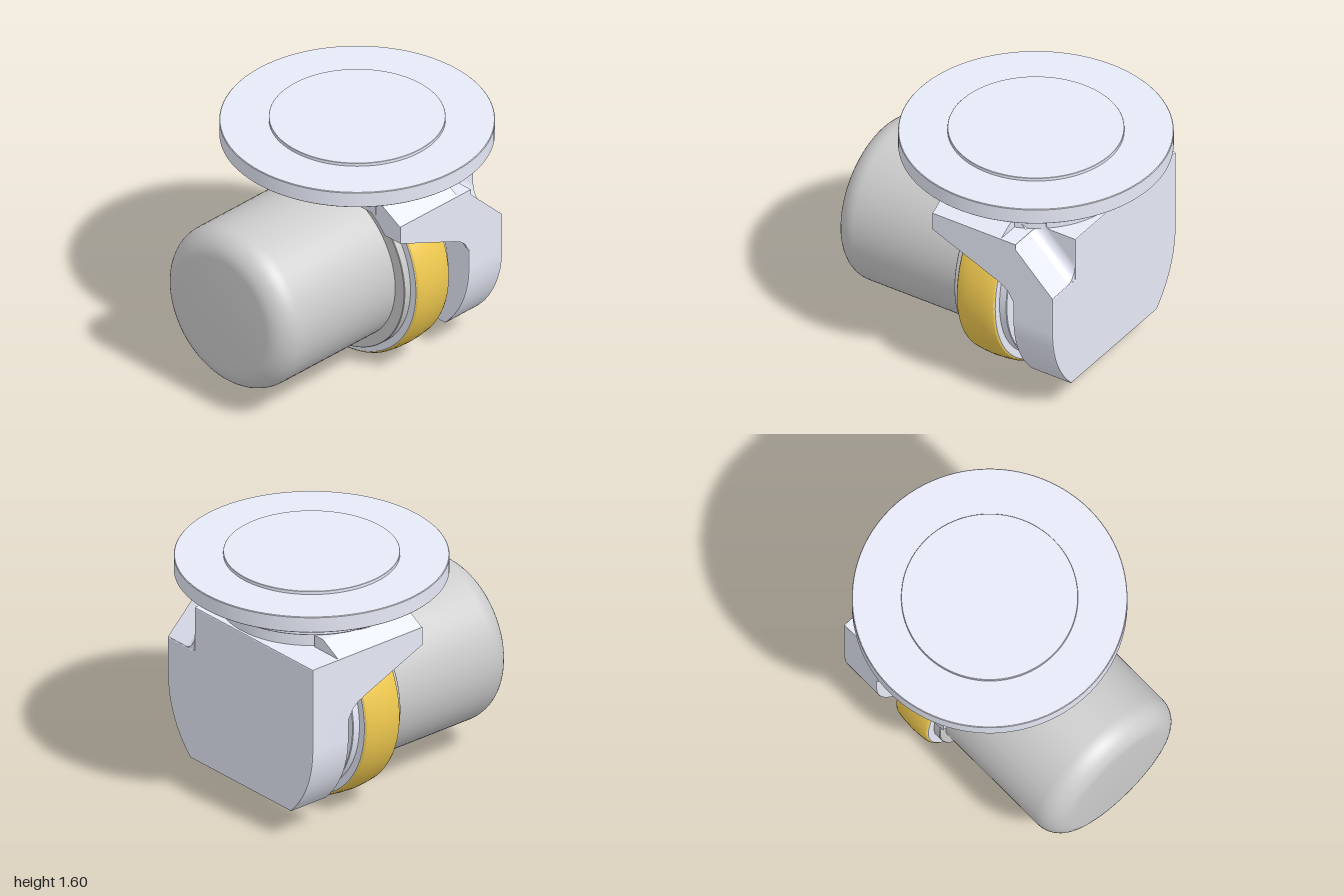
import * as THREE from 'three';
import { toCreasedNormals } from 'three/addons/utils/BufferGeometryUtils.js';

const AXLE_Y = 0.68, PIVOT_X = 0.158;
const steel = new THREE.MeshStandardMaterial({ color: 0xe6e9f7 });
const gold = new THREE.MeshStandardMaterial({ color: 0xf2cb50 });
const grey = new THREE.MeshStandardMaterial({ color: 0xcccccc });

function add(parent, name, geometry, material = steel) {
  const mesh = new THREE.Mesh(geometry, material);
  mesh.name = name;
  parent.add(mesh);
  return mesh;
}

// Turned part from [radius, height] points, edges kept sharp
function turned(points) {
  const g = new THREE.LatheGeometry(points.map(p => new THREE.Vector2(p[0], p[1])), 96);
  return toCreasedNormals(g, 0.5);
}

// Disc with small chamfers between two heights
function disc(r, a, b, c = 0.004) {
  return turned([[0, a], [r - c, a], [r, a + c], [r, b - c], [r - c, b], [0, b]]);
}

function polygon(points) {
  return new THREE.Shape(points.map(p => new THREE.Vector2(p[0], p[1])));
}

function extrude(shape, depth) {
  return new THREE.ExtrudeGeometry(shape, { depth, bevelEnabled: false, curveSegments: 32 });
}

// Fork arm lofted along x: sloping underside, inner face hollowed round the wheel
function armGeometry(side) {
  const stations = [[-0.15, 1.12], [0.32, 0.925], [0.37, 0.90], [0.41, 0.865], [0.435, 0.82], [0.46, 0.78]];
  const arc = 10, count = arc + 3, pos = [], index = [];
  for (const [x, low] of stations) {
    pos.push(x, 1.24, side * 0.68, x, low, side * 0.68);
    for (let i = 0; i <= arc; i++) {
      const y = low + (1.24 - low) * i / arc;
      const z = Math.min(0.66, Math.sqrt(0.7 * 0.7 - (y - AXLE_Y) ** 2));
      pos.push(x, y, side * z);
    }
  }
  const tri = (a, b, c) => (side > 0 ? index.push(a, b, c) : index.push(a, c, b));
  for (let s = 0; s < stations.length - 1; s++) {
    for (let i = 0; i < count; i++) {
      const a = s * count + i, b = s * count + (i + 1) % count;
      tri(a, b, a + count);
      tri(a + count, b, b + count);
    }
  }
  for (let i = 1; i < count - 1; i++) tri(0, i + 1, i);
  const g = new THREE.BufferGeometry();
  g.setAttribute('position', new THREE.Float32BufferAttribute(pos, 3));
  g.setIndex(index);
  return toCreasedNormals(g, 0.5);
}

export function createModel() {
  const model = new THREE.Group();

  // Turntable stack on the steering pivot
  const turntable = new THREE.Group();
  turntable.name = 'turntable';
  turntable.position.x = PIVOT_X;
  model.add(turntable);
  add(turntable, 'topPad', disc(0.54, 1.56, 1.602, 0.002));
  add(turntable, 'mountingPlate', disc(0.842, 1.473, 1.58));
  add(turntable, 'bearingRing', turned([
    [0, 1.37], [0.555, 1.37], [0.555, 1.328], [0.591, 1.328], [0.595, 1.332], [0.595, 1.48], [0, 1.48]]));
  add(turntable, 'pivotNeck', disc(0.5, 1.318, 1.39));

  // Fork: thick side plate with a rounded lower half and a notched front corner
  const fork = new THREE.Group();
  fork.name = 'fork';
  model.add(fork);
  const cut = Math.asin(0.49 / 0.68);
  const side = new THREE.Shape();
  side.moveTo(0.68, 1.24);
  side.lineTo(-0.43, 1.24);
  side.lineTo(-0.43, 0.94);
  side.lineTo(-0.68, 0.94);
  side.lineTo(-0.68, AXLE_Y);
  side.absarc(0, AXLE_Y, 0.68, Math.PI, Math.PI + cut, false);
  side.lineTo(0.47, 0.19);
  side.absarc(0, AXLE_Y, 0.68, -cut, 0, false);
  const sideGeometry = new THREE.ExtrudeGeometry(side, {
    depth: 0.275, curveSegments: 24, bevelSize: 0.008, bevelThickness: 0.008, bevelOffset: -0.008, bevelSegments: 2 });
  add(fork, 'sidePlate', toCreasedNormals(sideGeometry.rotateY(Math.PI / 2).translate(0.45, 0, 0), 0.3));

  // Diagonal channel at the front corner, with a concave fillet along its root
  add(fork, 'channelFloor', extrude(polygon([
    [0.34, 1.2], [0.44, 0.92], [0.73, 0.92], [0.73, 0.94], [0.422, 1.24], [0.34, 1.24]]), 0.26).translate(0, 0, 0.42));
  const fillet = new THREE.Shape();
  fillet.moveTo(0, 0);
  fillet.lineTo(0.08, 0);
  fillet.absarc(0.08, 0.08, 0.08, -Math.PI / 2, -Math.PI, true);
  fillet.lineTo(0, 0);
  const filletGeometry = extrude(fillet, 0.39).applyMatrix4(new THREE.Matrix4().makeBasis(
    new THREE.Vector3(0, 0, 1), new THREE.Vector3(0, 1.4, 0), new THREE.Vector3(-1, 0.974, 0)));
  add(fork, 'channelFillet', toCreasedNormals(filletGeometry.translate(0.73, 0.94, 0.43), 0.5));
  add(fork, 'channelShoulder', new THREE.BoxGeometry(0.18, 0.085, 0.08).translate(0.43, 1.2775, 0.39));

  // Arms reaching over the wheel, with sloping ledges up to the crown
  for (const s of [1, -1]) {
    add(fork, s > 0 ? 'frontArm' : 'rearArm', armGeometry(s));
    const ledge = polygon([[-s * 0.68, 1.235], [-s * 0.53, 1.32], [-s * 0.45, 1.32], [-s * 0.45, 1.235]]);
    add(fork, s > 0 ? 'frontLedge' : 'rearLedge',
      extrude(ledge, s > 0 ? 0.5 : 0.67).rotateY(Math.PI / 2).translate(-0.15, 0, 0));
  }

  // Round crown under the turntable, cut flat on the motor side
  const crown = new THREE.Shape();
  const a = Math.acos(-0.31 / 0.56);
  crown.absarc(PIVOT_X, 0, 0.56, -a, a, false);
  add(fork, 'crown', toCreasedNormals(extrude(crown, 0.085).rotateX(-Math.PI / 2).translate(0, 1.235, 0), 0.5));

  // Drive unit, turned about the axle: local height becomes x
  const drive = new THREE.Group();
  drive.name = 'driveUnit';
  drive.rotation.z = -Math.PI / 2;
  drive.position.y = AXLE_Y;
  model.add(drive);
  add(drive, 'tread', turned([
    [0.64, 0.015], [0.655, 0.015], [0.663, 0.02], [0.67, 0.035], [0.677, 0.09], [0.68, 0.15],
    [0.677, 0.21], [0.67, 0.27], [0.663, 0.285], [0.655, 0.29], [0.64, 0.29]]), gold);
  add(drive, 'wheelBody', disc(0.656, 0.012, 0.293));
  add(drive, 'innerFlange', disc(0.605, -0.04, 0.03), grey);
  add(drive, 'outerFlange', disc(0.605, 0.27, 0.345));
  add(drive, 'hubCap', disc(0.5, 0.33, 0.4));
  add(drive, 'axle', disc(0.12, 0.38, 0.46));

  // Motor can with a rounded end
  const motorProfile = [[0, -1]];
  for (let i = 0; i <= 10; i++) {
    const t = i / 10 * Math.PI / 2;
    motorProfile.push([0.38 + 0.16 * Math.sin(t), -0.84 - 0.16 * Math.cos(t)]);
  }
  motorProfile.push([0.54, -0.03], [0, -0.03]);
  add(drive, 'motor', turned(motorProfile), grey).position.z = -0.015;

  return model;
}
